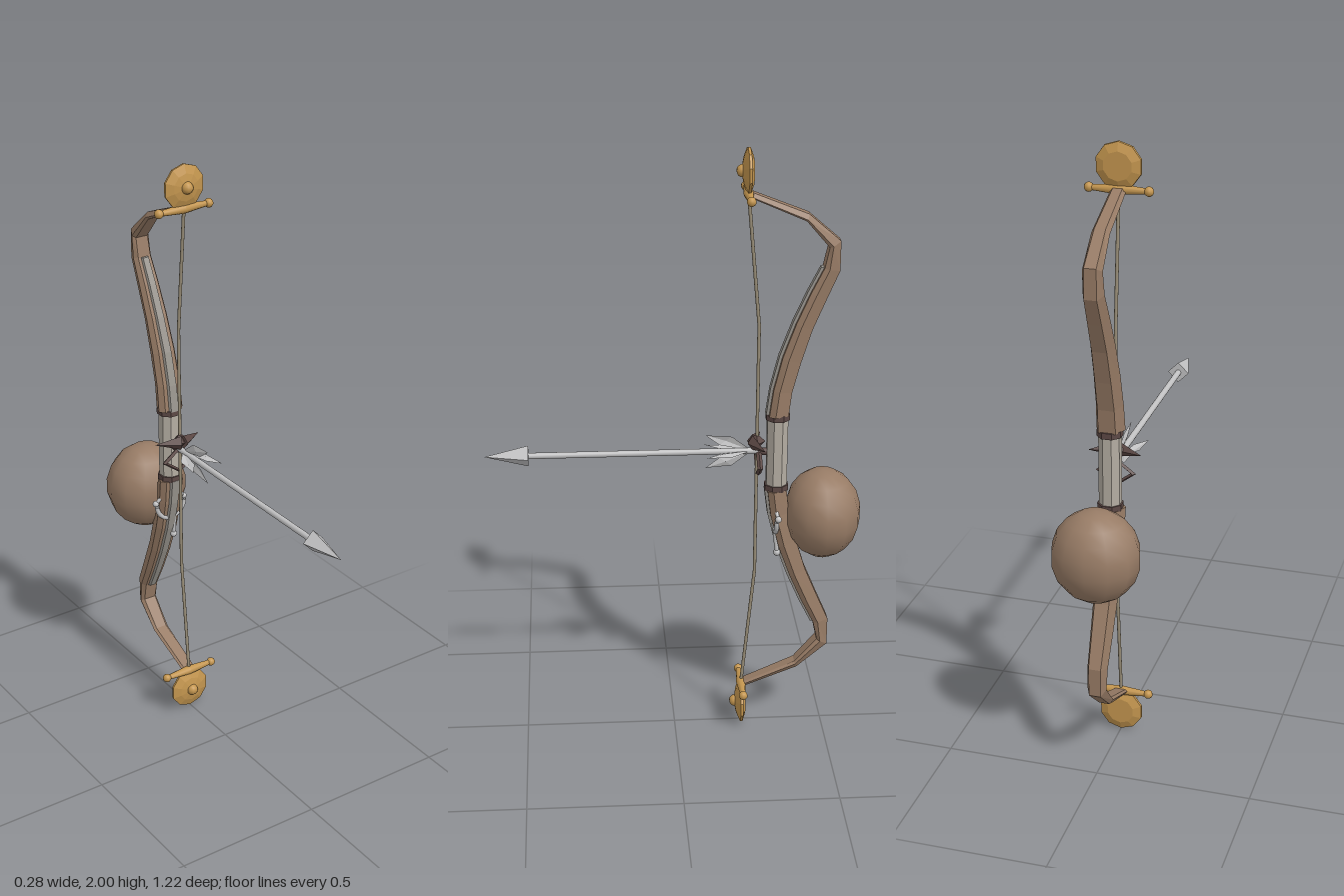
import * as THREE from 'three';

const mat = (name, color) => {
  const m = new THREE.MeshStandardMaterial({ color, side: THREE.DoubleSide });
  m.name = name;
  return m;
};

export function createModel() {
  const wood = mat('brown wood', 0x987c66);
  const gold = mat('gold', 0xc4964f);
  const steel = mat('steel', 0xc2c2c3);
  const gripGrey = mat('grip grey', 0xb4ada2);
  const inlayGrey = mat('inlay grey', 0x99958e);
  const dark = mat('dark brown', 0x5c4845);
  const cord = mat('cord', 0x978c76);

  const root = new THREE.Group();
  const add = (parent, name, geo, material, x = 0, y = 0, z = 0) => {
    const mesh = new THREE.Mesh(geo, material);
    mesh.name = name;
    mesh.position.set(x, y, z);
    parent.add(mesh);
    return mesh;
  };
  const flat = (geo) => {
    const g = geo.index ? geo.toNonIndexed() : geo;
    g.computeVertexNormals();
    return g;
  };

  // Skin between equal rings of points, with both ends closed
  const loft = (rings) => {
    const n = rings[0].length, pos = [];
    const tri = (...pts) => pts.forEach((p) => pos.push(...p));
    for (let i = 0; i < rings.length - 1; i++) {
      for (let j = 0; j < n; j++) {
        const k = (j + 1) % n, a = rings[i], b = rings[i + 1];
        tri(a[j], b[k], a[k]);
        tri(a[j], b[j], b[k]);
      }
    }
    const first = rings[0], last = rings[rings.length - 1];
    for (let j = 1; j < n - 1; j++) {
      tri(first[0], first[j], first[j + 1]);
      tri(last[0], last[j + 1], last[j]);
    }
    const g = new THREE.BufferGeometry();
    g.setAttribute('position', new THREE.Float32BufferAttribute(pos, 3));
    g.computeVertexNormals();
    return g;
  };

  // Limb stations: front y, front z, back y, back z, half width
  const stations = [
    [0.13, -0.301, 0.13, -0.363, 0.046],
    [0.22, -0.313, 0.21, -0.372, 0.044],
    [0.33, -0.340, 0.31, -0.398, 0.042],
    [0.44, -0.380, 0.42, -0.432, 0.039],
    [0.54, -0.424, 0.52, -0.474, 0.036],
    [0.62, -0.464, 0.61, -0.513, 0.033],
    [0.685, -0.478, 0.705, -0.513, 0.031],
    [0.77, -0.405, 0.792, -0.413, 0.028],
    [0.85, -0.222, 0.868, -0.222, 0.024],
  ];
  // Rings run clockwise seen from the tip, so faces point outward
  const limbRings = stations.map(([fy, fz, by, bz, w]) => {
    const at = (x, t) => [x, fy + (by - fy) * t, fz + (bz - fz) * t];
    return [at(w * 0.7, 0), at(-w * 0.7, 0), at(-w, 0.3), at(-w * 0.6, 1), at(w * 0.6, 1), at(w, 0.3)].reverse();
  });
  const inlayRings = stations.slice(0, 6).map(([y, z, , , w]) => {
    const h = w * 0.45;
    return [[-h, y, z - 0.006], [h, y, z - 0.006], [h * 0.7, y, z + 0.009], [-h * 0.7, y, z + 0.009]].reverse();
  });

  // Each half is built above the middle; the lower one is turned over
  for (const side of ['upper', 'lower']) {
    const half = new THREE.Group();
    half.name = side + 'Half';
    half.position.y = 1;
    if (side === 'lower') half.rotation.z = Math.PI;
    root.add(half);

    add(half, 'limb', loft(limbRings.map((r) => [...r].reverse())), wood);
    add(half, 'limbInlay', loft(inlayRings), inlayGrey);

    // Collar between grip and limb
    const collar = add(half, 'gripCollar', flat(new THREE.CylinderGeometry(0.041, 0.041, 0.02, 8)), dark, 0, 0.123, -0.331);
    collar.rotation.y = Math.PI / 8;

    // Round tip plate with a boss
    const profile = [[0, -0.014], [0.045, -0.014], [0.072, -0.004], [0.073, 0.004], [0.045, 0.015], [0.02, 0.02], [0, 0.02]];
    const plate = new THREE.LatheGeometry(profile.map((p) => new THREE.Vector2(...p)), 10);
    add(half, 'tipPlate', flat(plate), gold, 0, 0.927, -0.226).rotation.x = Math.PI / 2;
    add(half, 'tipBoss', new THREE.SphereGeometry(0.02, 10, 8), gold, 0, 0.927, -0.207);

    // Crossbar with ball ends
    for (const s of [-1, 1]) {
      const arm = add(half, 'crossbarArm', new THREE.CylinderGeometry(0.008, 0.016, 0.095, 10), gold, s * 0.047, 0.855, -0.226);
      arm.rotation.z = -s * Math.PI / 2;
      add(half, 'crossbarBall', new THREE.SphereGeometry(0.015, 10, 8), gold, s * 0.092, 0.855, -0.226);
    }
  }

  // Grip
  const grip = add(root, 'grip', flat(new THREE.CylinderGeometry(0.036, 0.036, 0.25, 8)), gripGrey, 0, 1, -0.331);
  grip.rotation.y = Math.PI / 8;

  // Round rod between two points
  const rod = (parent, name, a, b, r, material) => {
    const p = new THREE.Vector3(...a), q = new THREE.Vector3(...b);
    const mesh = add(parent, name, new THREE.CylinderGeometry(r, r, p.distanceTo(q), 14), material);
    mesh.position.copy(p).add(q).multiplyScalar(0.5);
    mesh.quaternion.setFromUnitVectors(new THREE.Vector3(0, 1, 0), q.sub(p).normalize());
  };

  // Bowstring
  const knots = [[0, 0.14, -0.226], [0, 0.57, -0.266], [0, 1.43, -0.266], [0, 1.86, -0.226]];
  for (let i = 0; i < 3; i++) rod(root, 'bowstring', knots[i], knots[i + 1], 0.0055, cord);

  // Arrow
  const arrow = new THREE.Group();
  arrow.name = 'arrow';
  arrow.position.y = 1.003;
  root.add(arrow);
  rod(arrow, 'arrowShaft', [0, 0, -0.27], [0, 0, 0.49], 0.01, steel);
  add(arrow, 'arrowHead', flat(new THREE.ConeGeometry(0.036, 0.142, 4)), steel, 0, 0, 0.54).rotation.x = Math.PI / 2;
  for (let i = 0; i < 4; i++) {
    // Folded vane: two faces meeting along a raised middle line
    const base = [0, 0, -0.25], tip = [0.057, 0, -0.1], outer = [0.05, 0, -0.185], inner = [0.022, 0, -0.145], mid = [0.034, 0.006, -0.165];
    const tris = [base, mid, outer, outer, mid, tip, base, inner, mid, mid, inner, tip];
    const g = new THREE.BufferGeometry();
    g.setAttribute('position', new THREE.Float32BufferAttribute(tris.flat(), 3));
    g.computeVertexNormals();
    add(arrow, 'arrowVane', g, steel).rotation.z = i * Math.PI / 2;
  }

  // Winged arrow rest with a diamond loop below
  const rest = new THREE.Group();
  rest.name = 'arrowRest';
  root.add(rest);
  for (const s of [-1, 1]) {
    const wing = new THREE.ConeGeometry(0.025, 0.088, 4);
    wing.scale(1, 1, 0.7);
    const mesh = add(rest, 'restWing', flat(wing), dark, s * 0.045, 1.033, -0.268);
    mesh.rotation.set(0, s * 0.4, -s * Math.PI / 2);
  }
  add(rest, 'restCrest', flat(new THREE.OctahedronGeometry(0.028)), dark, 0, 1.035, -0.265);
  const loop = add(rest, 'restLoop', flat(new THREE.TorusGeometry(0.056, 0.009, 4, 4)), dark, 0, 0.963, -0.272);
  loop.scale.y = 0.75;
  rod(rest, 'restStem', [0, 1.0, -0.27], [0, 1.0, -0.31], 0.012, dark);

  // Steel ring clasp and hanging pin on the lower limb
  const clasp = new THREE.Group();
  clasp.name = 'clasp';
  root.add(clasp);
  const arc = add(clasp, 'claspArc', new THREE.TorusGeometry(0.054, 0.008, 10, 16, Math.PI), steel, 0, 0.77, -0.33);
  arc.rotation.z = Math.PI;
  for (const s of [-1, 1]) {
    add(clasp, 'claspBall', new THREE.SphereGeometry(0.011, 10, 8), steel, s * 0.056, 0.78, -0.335);
    rod(clasp, 'claspArm', [s * 0.056, 0.78, -0.335], [s * 0.02, 0.82, -0.325], 0.006, steel);
  }
  rod(clasp, 'hangingPin', [0.015, 0.8, -0.32], [0.015, 0.645, -0.337], 0.007, steel);
  add(clasp, 'pinBall', new THREE.SphereGeometry(0.012, 10, 8), steel, 0.015, 0.642, -0.337);

  // Large round ball behind the lower limb
  const ball = add(root, 'rearBall', new THREE.SphereGeometry(1, 12, 9), wood, 0, 0.778, -0.485);
  ball.scale.set(0.142, 0.152, 0.127);

  return root;
}
